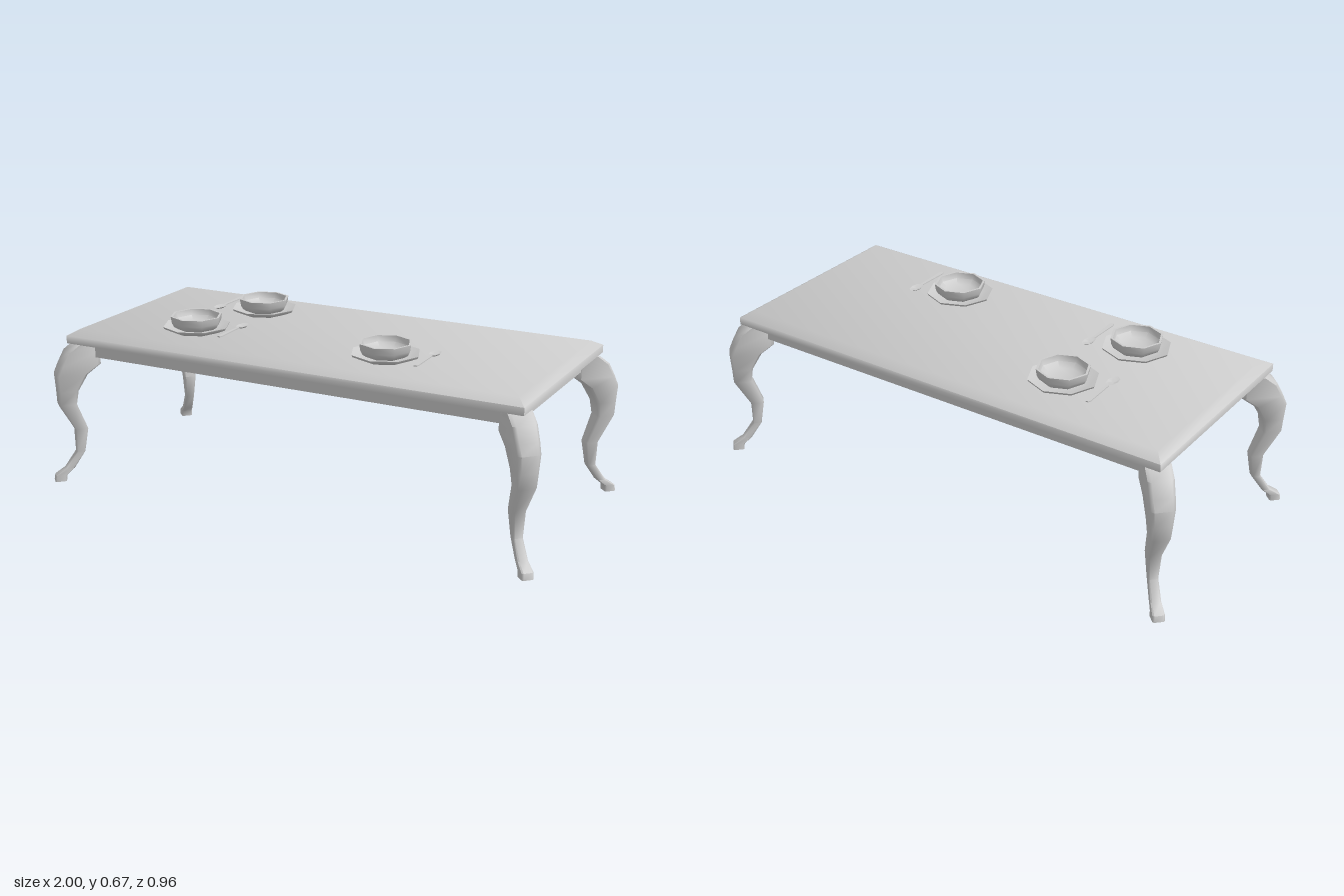
import * as THREE from 'three';
import { toCreasedNormals } from 'three/addons/utils/BufferGeometryUtils.js';

const material = new THREE.MeshStandardMaterial({ color: 0xcccccc });

function part(name, geometry, parent, crease = 0.9) {
  const mesh = new THREE.Mesh(toCreasedNormals(geometry, crease), material);
  mesh.name = name;
  parent.add(mesh);
  return mesh;
}

// Skin a stack of equal rings (counter-clockwise seen from above, bottom to top), with caps
function loft(rings) {
  const n = rings[0].length, last = (rings.length - 1) * n, index = [];
  for (let r = 0; r < rings.length - 1; r++) {
    for (let i = 0; i < n; i++) {
      const a = r * n + i, b = r * n + (i + 1) % n;
      index.push(a, b, b + n, a, b + n, a + n);
    }
  }
  for (let i = 1; i < n - 1; i++) {
    index.push(0, i + 1, i, last, last + i, last + i + 1);
  }
  const g = new THREE.BufferGeometry();
  g.setAttribute('position', new THREE.Float32BufferAttribute(rings.flat(2), 3));
  g.setIndex(index);
  g.computeVertexNormals();
  return g;
}

const rectRing = (x, y, z) => [[x, y, z], [x, y, -z], [-x, y, -z], [-x, y, z]];

// Rectangle with chamfered corners, centred on (cx, 0)
function chamferRing(cx, y, a, b, m) {
  return [[a, b - m], [a, m - b], [a - m, -b], [m - a, -b],
    [-a, m - b], [-a, b - m], [m - a, b], [a - m, b]].map(([x, z]) => [cx + x, y, z]);
}

function rectangle(target, x, z) {
  target.moveTo(-x, -z);
  target.lineTo(x, -z);
  target.lineTo(x, z);
  target.lineTo(-x, z);
  target.closePath();
  return target;
}

const lathe = (pts) =>
  new THREE.LatheGeometry(pts.map(([r, y]) => new THREE.Vector2(r, y)), 8);

// Curved leg: height, inner and outer reach along z, half width across the diagonal
const LEG = [
  [0, 0.425, 0.48, 0.022], [0.024, 0.423, 0.477, 0.022], [0.05, 0.403, 0.447, 0.019],
  [0.115, 0.372, 0.414, 0.0175], [0.21, 0.357, 0.419, 0.025], [0.315, 0.38, 0.465, 0.034],
  [0.37, 0.371, 0.469, 0.039], [0.435, 0.342, 0.474, 0.043], [0.474, 0.304, 0.463, 0.045],
  [0.525, 0.304, 0.445, 0.046], [0.558, 0.315, 0.415, 0.046],
];

// The reach is measured at 45 degrees to the section, so the depth follows from it
function legGeometry() {
  return loft(LEG.map(([y, inner, outer, b]) => {
    const a = (outer - inner) / Math.SQRT2 - 0.75 * b;
    return chamferRing((inner + outer) / Math.SQRT2, y, a, b, 0.25 * b);
  }));
}

// Plate, bowl and spoon; the spoon lies to +x with its bowl towards -z
function placeSetting() {
  const set = new THREE.Group();
  set.name = 'placeSetting';
  part('plate', lathe([[0, 0.608], [0.088, 0.608], [0.108, 0.616], [0.126, 0.624],
    [0.13, 0.632], [0.104, 0.624], [0.08, 0.618], [0, 0.618]]), set);
  part('bowl', lathe([[0, 0.618], [0.074, 0.62], [0.088, 0.629], [0.096, 0.645],
    [0.1, 0.67], [0.091, 0.67], [0.086, 0.648], [0.066, 0.632], [0.035, 0.626], [0, 0.624]]), set);

  const spoon = new THREE.Group();
  spoon.name = 'spoon';
  spoon.position.set(0.162, 0.631, 0);
  set.add(spoon);
  // Shallow dish with an inner surface
  const dish = lathe([[0, -0.008], [0.6, -0.006], [1, 0.001], [0.9, 0.001], [0.5, -0.003], [0, -0.005]]);
  dish.scale(0.021, 1, 0.037);
  part('spoonBowl', dish, spoon).position.z = -0.071;
  // Handle flares towards its rounded end
  const outline = new THREE.Shape();
  outline.moveTo(-0.005, 0.037);
  outline.lineTo(-0.009, -0.09);
  outline.lineTo(-0.005, -0.102);
  outline.lineTo(0.005, -0.102);
  outline.lineTo(0.009, -0.09);
  outline.lineTo(0.005, 0.037);
  const handle = new THREE.ExtrudeGeometry(outline, { depth: 0.004, bevelEnabled: false });
  handle.rotateX(-Math.PI / 2);
  part('spoonHandle', handle, spoon).position.y = -0.003;
  return set;
}

export function createModel() {
  const table = new THREE.Group();
  table.name = 'diningTable';

  // Slab with a bevelled upper edge
  part('tableTop', loft([
    rectRing(0.93, 0.558, 0.418), rectRing(0.93, 0.587, 0.418),
    rectRing(0.895, 0.609, 0.378),
  ]), table, 1.2);

  // Thin hollow apron frame
  const frame = rectangle(new THREE.Shape(), 0.885, 0.375);
  frame.holes.push(rectangle(new THREE.Path(), 0.873, 0.363));
  const apron = new THREE.ExtrudeGeometry(frame, { depth: 0.054, bevelEnabled: false });
  apron.rotateX(-Math.PI / 2);
  part('apron', apron, table).position.y = 0.504;

  // Four legs splayed along the diagonals
  const leg = legGeometry();
  for (let k = 0; k < 4; k++) {
    const angle = Math.PI / 4 + k * Math.PI / 2;
    const mesh = part('leg', leg, table);
    mesh.rotation.y = angle;
    mesh.position.x = Math.sign(Math.cos(angle)) * 0.52;
  }

  // Three place settings, the back one turned around
  for (const [x, z, turn] of [[-0.488, 0.184, 0], [0.313, 0.184, 0], [-0.393, -0.167, Math.PI]]) {
    const set = placeSetting();
    set.position.set(x, 0, z);
    set.rotation.y = turn;
    table.add(set);
  }
  return table;
}
